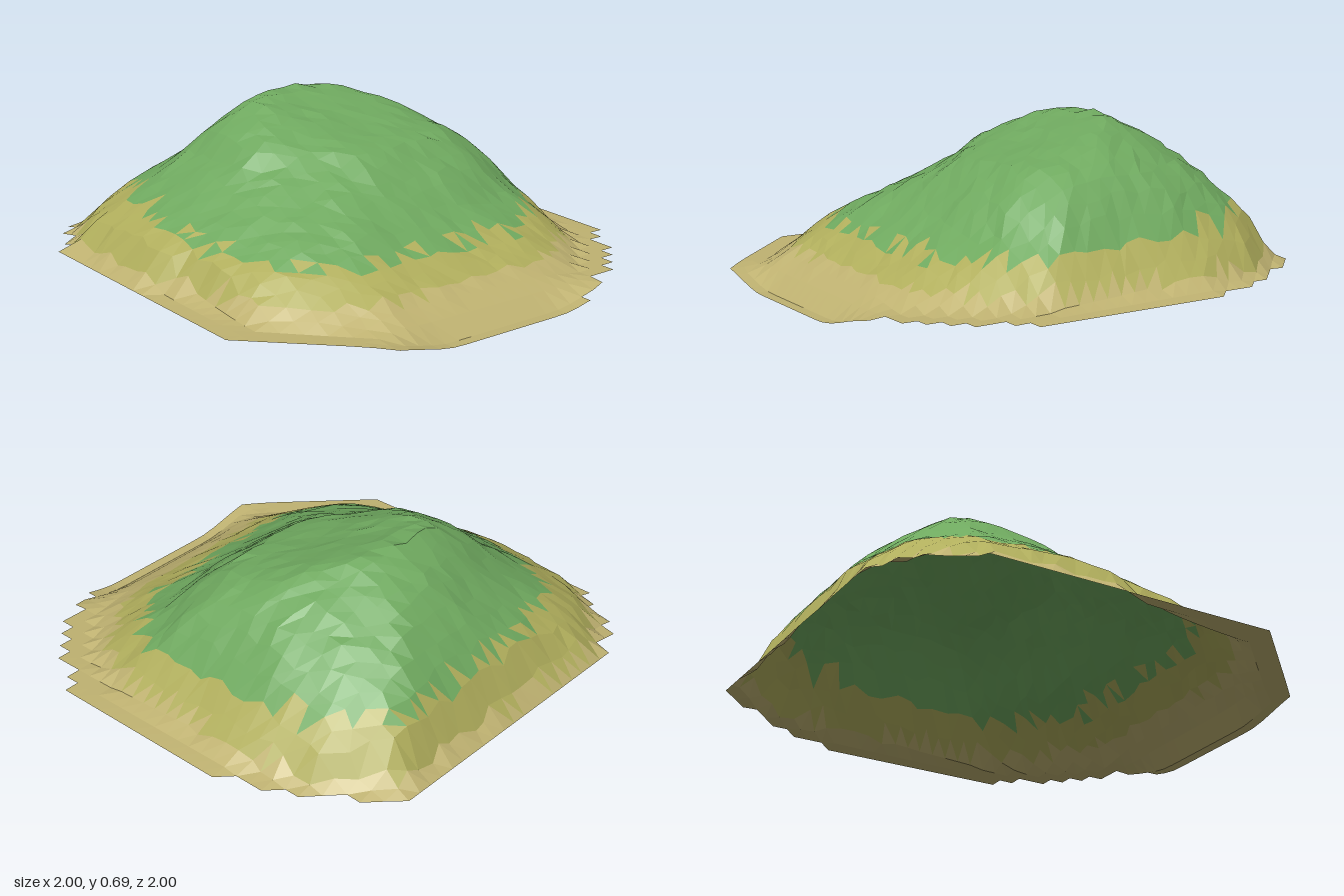
import * as THREE from 'three';

// Terrain hill: a square grid whose heights are read between contour lines.
const CX = -0.25, CZ = 0; // centre from which the contours are measured
const CELLS = 31;

// A contour: height = base + tilt * x along a loop of [x, z] points
const contour = (base, tilt, pts) => ({ base, tilt, pts });
const shore = contour(.069, -.008, [
  [-1, -.62], [-.87, -.745], [-.81, -.745], [-.68, -.873], [-.61, -.873], [-.55, -.937], [-.42, -.937], [-.355, -1],
  [.484, -1], [.548, -.937], [.677, -.873], [.742, -.81], [.806, -.745], [.871, -.68], [.937, -.55], [1, -.42],
  [1, .55], [.55, 1], [-.68, 1], [-.742, .937], [-.873, .873], [-.937, .81], [-1, .68]]);
const rim = contour(.08, -.025, [
  [-.95, -.6], [-.68, -.8], [-.36, -.9], [.3, -.88], [.55, -.79], [.8, -.55], [.87, -.35],
  [.88, .3], [.9, .47], [.72, .7], [.52, .87], [.06, .89], [-.05, .96], [-.62, .96], [-.82, .83], [-.96, .62]]);
const foot = contour(.2, 0, [
  [-.9, -.55], [-.68, -.74], [-.4, -.8], [.28, -.77], [.48, -.64], [.6, -.4], [.63, 0],
  [.65, .4], [.55, .62], [.45, .73], [.25, .8], [-.02, .86], [-.1, .9], [-.4, .9], [-.6, .86], [-.77, .75], [-.92, .55]]);
const lower = contour(.3, 0, [
  [-.86, -.5], [-.65, -.67], [-.35, -.72], [.2, -.7], [.35, -.55], [.43, -.3], [.46, 0],
  [.48, .35], [.37, .56], [.1, .7], [-.2, .75], [-.55, .72], [-.75, .6], [-.86, .3]]);
const middle = contour(.4, 0, [
  [-.78, -.4], [-.6, -.58], [-.35, -.65], [.15, -.63], [.28, -.48], [.33, -.25], [.32, .1],
  [.28, .3], [.1, .5], [-.2, .59], [-.5, .58], [-.68, .4], [-.78, .1]]);
const upper = contour(.49, 0, [
  [-.7, -.3], [-.55, -.48], [-.3, -.56], [.05, -.55], [.19, -.4], [.22, .08],
  [0, .36], [-.1, .46], [-.5, .46], [-.62, .25], [-.7, 0]]);
const plateau = contour(.535, -.1, [
  [-.58, -.2], [-.4, -.4], [-.15, -.49], [.08, -.44], [.17, -.33], [.18, .08],
  [-.1, .4], [-.39, .4], [-.5, .28], [-.59, 0]]);
const ridge = contour(.565, -.305, [
  [-.39, -.17], [-.2, -.35], [-.05, -.25], [-.05, .1], [-.2, .27], [-.39, .19], [-.41, 0]]);
const slopes = [shore, rim, foot, lower, middle, upper, plateau, ridge];

// Distance from the centre to a closed loop along the unit direction (dx, dz)
function castRay(pts, dx, dz) {
  for (let i = 0; i < pts.length; i++) {
    const [px, pz] = pts[i], [qx, qz] = pts[(i + 1) % pts.length];
    const ex = qx - px, ez = qz - pz, wx = px - CX, wz = pz - CZ;
    const det = dx * ez - dz * ex;
    if (Math.abs(det) < 1e-9) continue;
    const r = (wx * ez - wz * ex) / det, s = (wx * dz - wz * dx) / det;
    if (r > 0 && s >= -1e-6 && s <= 1 + 1e-6) return r;
  }
  return 0;
}

// Ground height, or null beyond the shore
function heightAt(x, z) {
  const d = Math.hypot(x - CX, z - CZ), dx = (x - CX) / d, dz = (z - CZ) / d;
  const marks = slopes.map(({ base, tilt, pts }) => {
    const r = castRay(pts, dx, dz);
    return { r, y: base + tilt * (CX + dx * r) };
  });
  if (d > marks[0].r + 0.012) return null;
  // The right edge steps down to the ground
  if (x > 0.92) return 0.06 * THREE.MathUtils.smoothstep(Math.abs(z), 0.25, 0.62);
  marks.push({ r: 0, y: ridge.base + ridge.tilt * CX });
  const k = marks.findIndex((m) => m.r <= d);
  if (k === 0) return marks[0].y;
  const a = marks[k - 1], b = marks[k];
  return THREE.MathUtils.lerp(b.y, a.y, (d - b.r) / (a.r - b.r));
}

export function createModel() {
  let seed = 7;
  const jitter = (a) => {
    seed = (seed * 16807) % 2147483647;
    return (seed / 2147483647 - 0.5) * 2 * a;
  };

  // Grid points, slightly roughened on the slopes
  const grid = [];
  for (let j = 0; j <= CELLS; j++) {
    for (let i = 0; i <= CELLS; i++) {
      const x = -1 + 2 * i / CELLS, z = -1 + 2 * j / CELLS, y = heightAt(x, z);
      if (y === null) grid.push(null);
      else if (i === CELLS - 1 && Math.abs(z) < 0.5) grid.push(new THREE.Vector3(0.952, y, z));
      else if (y < 0.1) grid.push(new THREE.Vector3(x, y, z));
      else {
        const px = x + jitter(0.014), pz = z + jitter(0.014);
        grid.push(new THREE.Vector3(px, (heightAt(px, pz) ?? y) + jitter(0.005), pz));
      }
    }
  }

  // Sort the faces into sand, dry grass and green by height
  const bands = { sandShore: [], dryGrassSlope: [], greenHilltop: [] };
  const face = (a, b, c) => {
    if (!a || !b || !c) return;
    const h = (a.y + b.y + c.y) / 3, x = (a.x + b.x + c.x) / 3;
    const greenLine = 0.265 - 0.07 * x + jitter(0.025);
    const name = h > greenLine ? 'greenHilltop' : h > 0.13 ? 'dryGrassSlope' : 'sandShore';
    for (const p of [a, b, c]) bands[name].push(p.x, p.y, p.z);
  };
  for (let j = 0; j < CELLS; j++) {
    for (let i = 0; i < CELLS; i++) {
      const k = j * (CELLS + 1) + i, m = k + CELLS + 1;
      face(grid[k], grid[m], grid[k + 1]);
      face(grid[k + 1], grid[m], grid[m + 1]);
    }
  }

  const colors = { sandShore: 0xbfb271, dryGrassSlope: 0xb0ae5c, greenHilltop: 0x6fa95f };
  const group = new THREE.Group();
  group.name = 'hill';
  for (const name in bands) {
    const geo = new THREE.BufferGeometry();
    geo.setAttribute('position', new THREE.Float32BufferAttribute(bands[name], 3));
    geo.computeVertexNormals();
    const mesh = new THREE.Mesh(geo, new THREE.MeshStandardMaterial({
      color: colors[name], flatShading: true, side: THREE.DoubleSide }));
    mesh.name = name;
    group.add(mesh);
  }
  return group;
}
